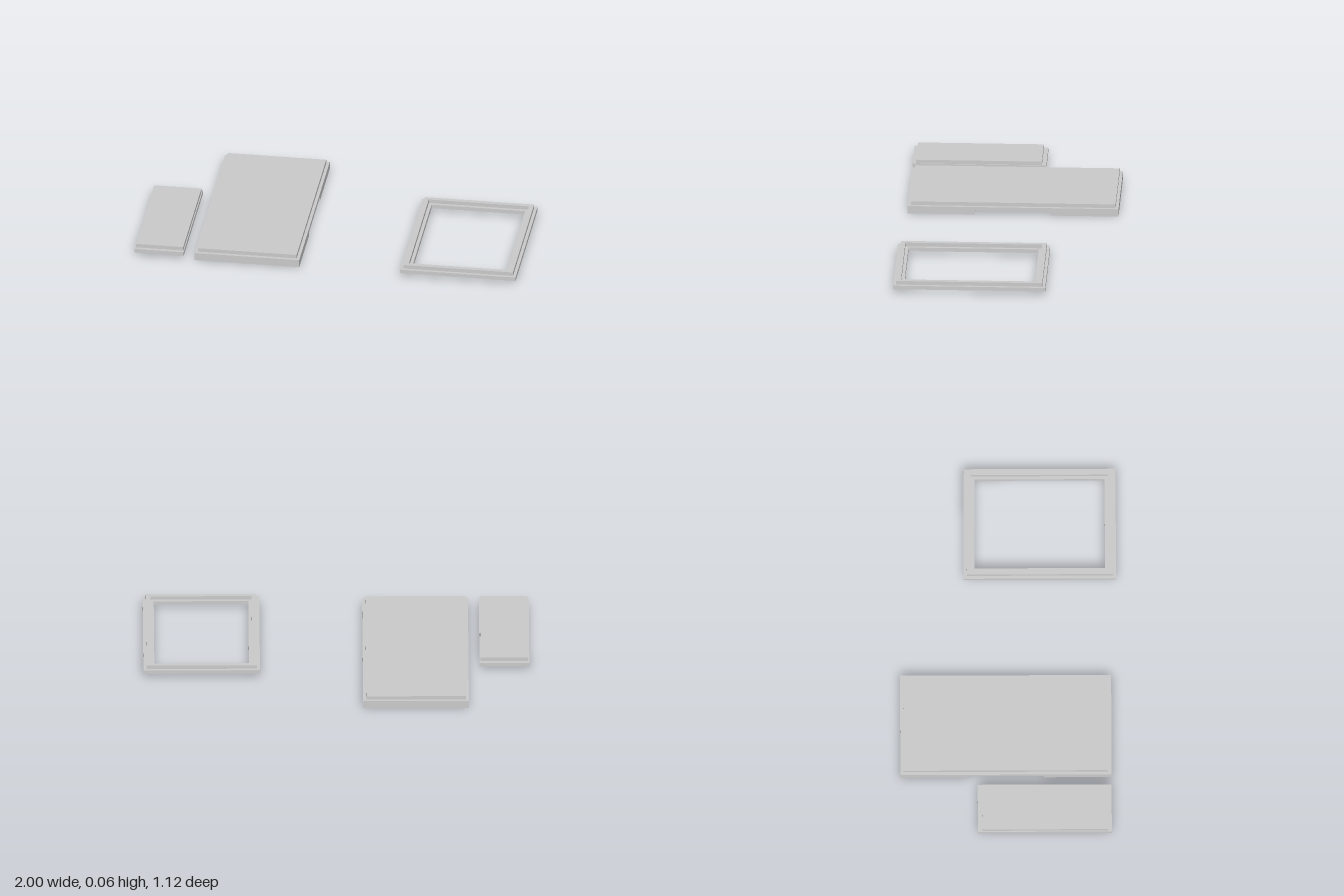
import * as THREE from 'three';

const Y0 = 0, Y1 = 0.021, Y2 = 0.041, Y3 = 0.061;
const material = new THREE.MeshStandardMaterial({ color: 0xcccccc, flatShading: true });

// Box given by its limits on each axis
function slab(name, [x0, x1], [y0, y1], [z0, z1]) {
  const mesh = new THREE.Mesh(new THREE.BoxGeometry(x1 - x0, y1 - y0, z1 - z0), material);
  mesh.position.set((x0 + x1) / 2, (y0 + y1) / 2, (z0 + z1) / 2);
  mesh.name = name;
  return mesh;
}

function rectangle(target, w, d) {
  target.moveTo(-w / 2, -d / 2);
  target.lineTo(w / 2, -d / 2);
  target.lineTo(w / 2, d / 2);
  target.lineTo(-w / 2, d / 2);
  target.closePath();
  return target;
}

// Flat rectangular ring, set in from the frame's outline by two distances
function ring(name, y0, y1, outer, inner) {
  const w = 0.604, d = 0.789;
  const shape = rectangle(new THREE.Shape(), w - 2 * outer, d - 2 * outer);
  shape.holes.push(rectangle(new THREE.Path(), w - 2 * inner, d - 2 * inner));
  const geometry = new THREE.ExtrudeGeometry(shape, { depth: y1 - y0, bevelEnabled: false });
  geometry.rotateX(-Math.PI / 2);
  const mesh = new THREE.Mesh(geometry, material);
  mesh.position.set(0.698, y0, 0.1665);
  mesh.name = name;
  return mesh;
}

function group(name, ...parts) {
  const g = new THREE.Group();
  g.name = name;
  g.add(...parts);
  return g;
}

export function createModel() {
  // Narrow stepped slab
  const narrow = group('narrowSlab',
    slab('narrowBase', [-1, -0.742], [Y1, Y2], [-0.16, 0.534]),
    slab('narrowTop', [-0.994, -0.747], [Y2, Y3], [-0.137, 0.515]));

  // Large stepped slab, thicker at both ends
  const wide = [-0.685, -0.137];
  const large = group('largeSlab',
    slab('largeBase', wide, [Y1, Y2], [-0.56, 0.534]),
    slab('largeTop', [-0.669, -0.153], [Y2, Y3], [-0.544, 0.516]),
    slab('frontFoot', wide, [Y0, Y1], [0.185, 0.534]),
    slab('backFoot', wide, [Y0, Y1], [-0.56, -0.21]));

  // Open stepped frame
  const frame = group('openFrame',
    ring('frameBase', Y1, Y2, 0, 0.057),
    ring('frameRim', Y2, Y3, 0.016, 0.04));

  return group('steppedSlabs', narrow, large, frame);
}
